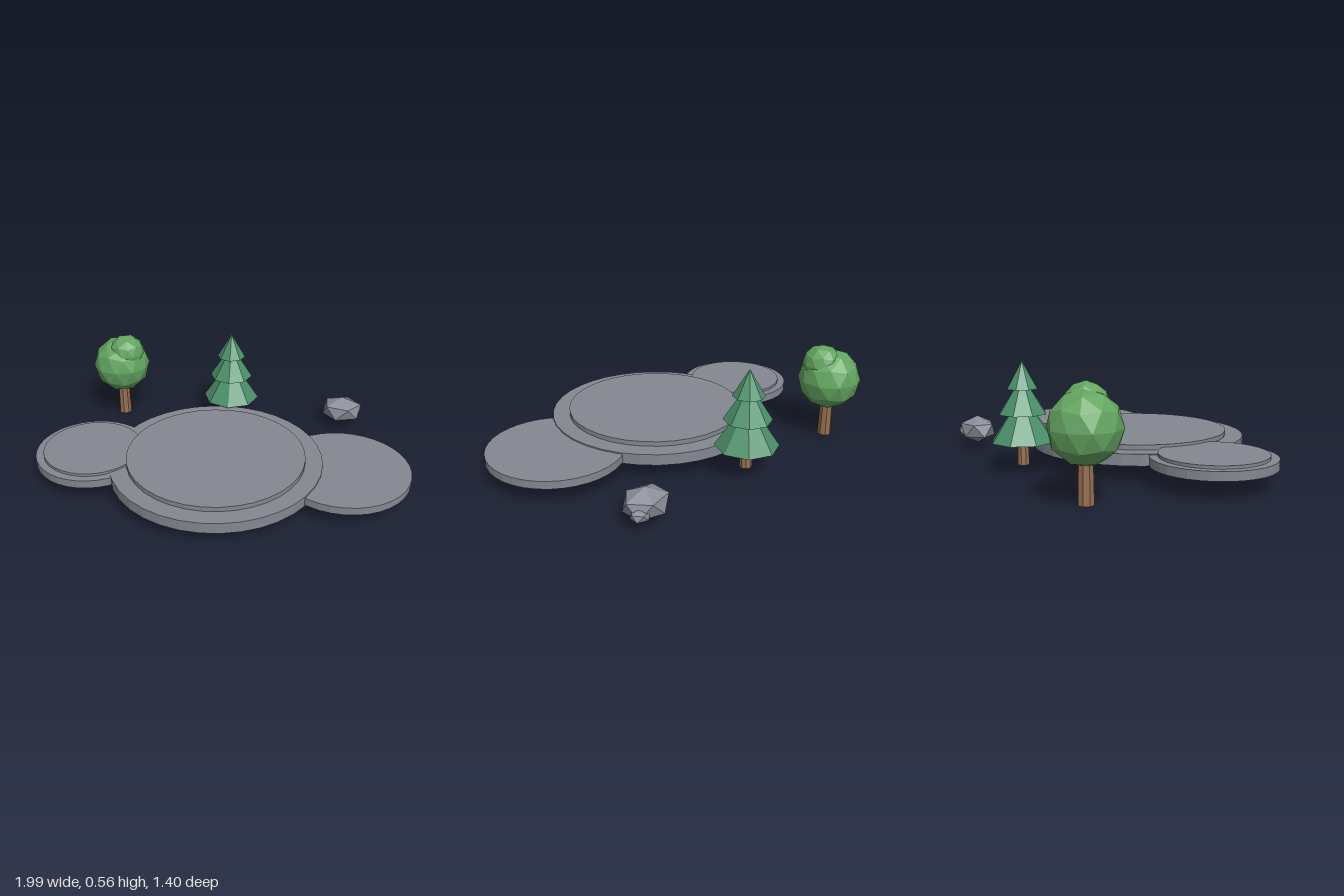
import * as THREE from 'three';

const mat = (name, color, flatShading = true) => {
  const m = new THREE.MeshStandardMaterial({ color, flatShading });
  m.name = name;
  return m;
};

export function createModel() {
  const stone = mat('stone', 0x848791);
  const rockGrey = mat('rock grey', 0x8a8c98);
  const bark = mat('bark', 0x976f50);
  const leaf = mat('leaf green', 0x62a45f);
  const pine = mat('pine green', 0x4a9069);

  const model = new THREE.Group();
  model.name = 'gardenPlatforms';

  const add = (parent, name, geometry, material, x, y, z) => {
    const mesh = new THREE.Mesh(geometry, material);
    mesh.name = name;
    mesh.position.set(x, y, z);
    parent.add(mesh);
    return mesh;
  };
  const group = (name, x, z) => {
    const g = new THREE.Group();
    g.name = name;
    g.position.set(x, 0, z);
    model.add(g);
    return g;
  };

  // Upright tapered solid between two heights
  const column = (parent, name, material, rTop, rBottom, y0, y1, sides) =>
    add(parent, name, new THREE.CylinderGeometry(rTop, rBottom, y1 - y0, sides),
      material, 0, (y0 + y1) / 2, 0);

  // Faceted ball with a corner at each pole
  const ball = (parent, name, material, [rx, ry, rz], detail, x, y, z) => {
    const g = new THREE.IcosahedronGeometry(1, detail);
    g.rotateX(-Math.atan((1 + Math.sqrt(5)) / 2)).rotateY(Math.PI / 2).scale(rx, ry, rz);
    return add(parent, name, g, material, x, y, z);
  };

  // Round platforms, two of them with a raised step: radius, bottom, top
  const platforms = [
    ['mainPlatform', -0.027, [[0.564, 0.08, 0.138], [0.473, 0.138, 0.163]]],
    ['rightPlatform', -0.697, [[0.303, 0.09, 0.134], [0.262, 0.134, 0.149]]],
    ['leftPlatform', 0.643, [[0.35, 0.09, 0.131]]],
  ];
  for (const [name, x, discs] of platforms) {
    const g = group(name, x, 0.137);
    discs.forEach(([r, y0, y1], i) =>
      column(g, i ? 'raisedStep' : 'baseDisc', stone, r, r, y0, y1, 36));
  }

  // Round tree
  const roundTree = group('roundTree', -0.697, -0.538);
  column(roundTree, 'trunk', bark, 0.033, 0.038, 0, 0.24, 8);
  ball(roundTree, 'crown', leaf, [0.166, 0.166, 0.166], 1, 0, 0.331, 0);
  ball(roundTree, 'upperCrown', leaf, [0.104, 0.104, 0.104], 1, 0.041, 0.419, 0.025);

  // Pine tree with three stacked cones: radius, bottom, height
  const pineTree = group('pineTree', -0.027, -0.536);
  column(pineTree, 'trunk', bark, 0.026, 0.032, 0.037, 0.18, 8);
  for (const [r, y, h] of [[0.163, 0.156, 0.24], [0.123, 0.295, 0.19], [0.081, 0.419, 0.137]])
    add(pineTree, 'foliageTier', new THREE.ConeGeometry(r, h, 8), pine, 0, y + h / 2, 0);

  // Boulder with a smaller stone at its side
  const rocks = group('rocks', 0.643, -0.537);
  ball(rocks, 'boulder', rockGrey, [0.125, 0.078, 0.104], 0, 0, 0.11, 0);
  ball(rocks, 'smallStone', rockGrey, [0.052, 0.033, 0.048], 0, 0.07, 0.093, -0.042);

  return model;
}
